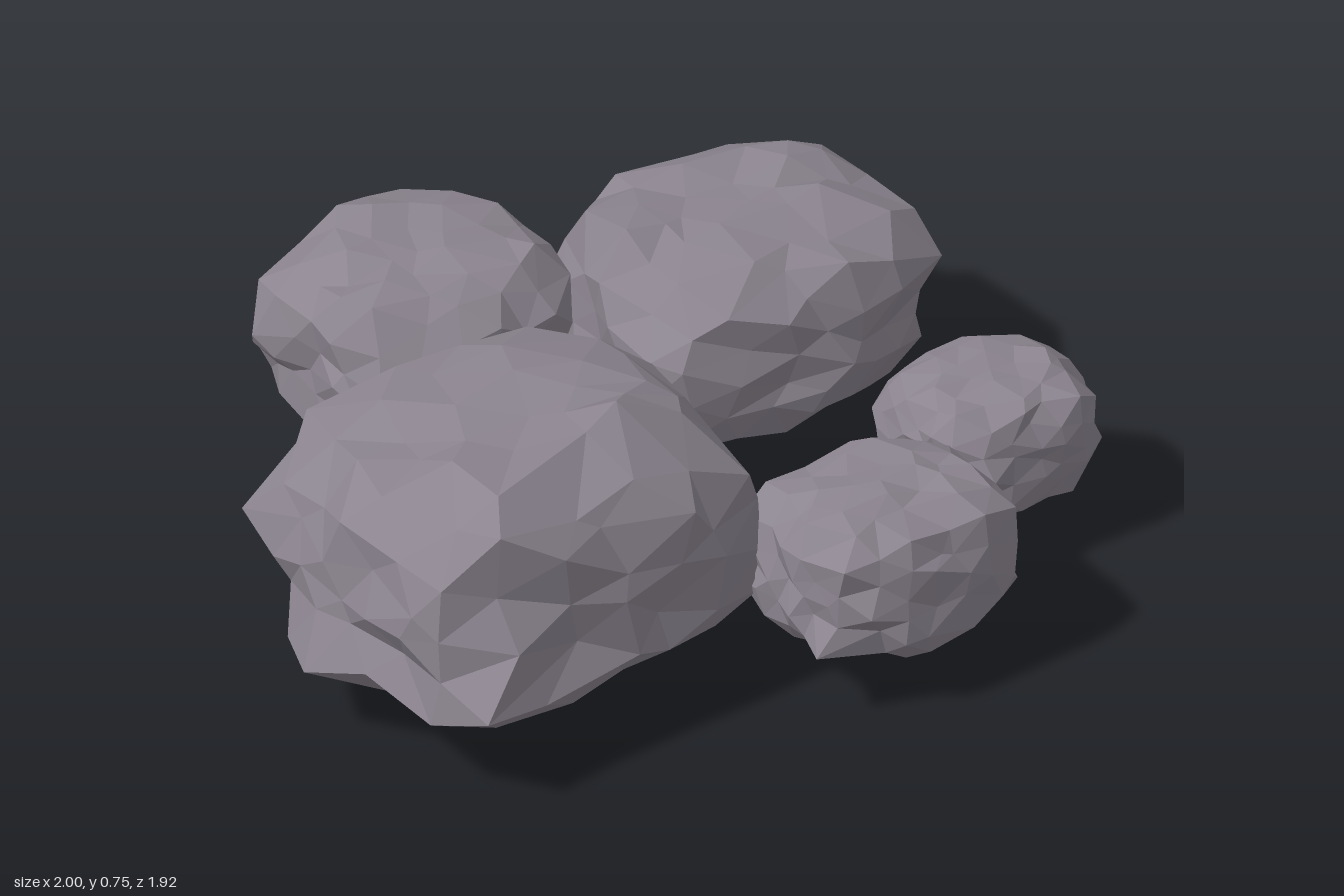
import * as THREE from 'three';
import { mergeVertices } from 'three/addons/utils/BufferGeometryUtils.js';

function seeded(seed) {
  let s = seed * 7919;
  return () => {
    s = (s * 16807) % 2147483647;
    return s / 2147483647;
  };
}

// A boxy boulder between two opposite limits, roughened, then drawn out to a few prominent corners
function rockGeometry(seed, min, max, corners) {
  const random = seeded(seed);
  const low = new THREE.Vector3(...min), high = new THREE.Vector3(...max);
  const centre = low.clone().add(high).multiplyScalar(0.5);
  const half = high.clone().sub(low).multiplyScalar(0.5);

  const sphere = new THREE.IcosahedronGeometry(1, 3);
  sphere.deleteAttribute('uv');
  sphere.deleteAttribute('normal');
  const geometry = mergeVertices(sphere, 1e-4);
  const pos = geometry.attributes.position;
  const points = [];

  // Sphere to rounded box, with uneven spacing and depth
  const power = 4.2;
  for (let i = 0; i < pos.count; i++) {
    const v = new THREE.Vector3().fromBufferAttribute(pos, i);
    v.add(new THREE.Vector3(random() - 0.5, random() - 0.5, random() - 0.5).multiplyScalar(0.16));
    const size = Math.abs(v.x) ** power + Math.abs(v.y) ** power + Math.abs(v.z) ** power;
    v.multiplyScalar((1.02 - 0.13 * random()) / size ** (1 / power));
    points.push(v.multiply(half).add(centre));
  }

  // Draw the nearest vertex to each corner, its neighbours following partway
  const spread = half.x * 0.5;
  for (const corner of corners) {
    const target = new THREE.Vector3(...corner);
    const nearest = points.reduce((a, b) => (b.distanceTo(target) < a.distanceTo(target) ? b : a)).clone();
    const pull = target.sub(nearest);
    for (const p of points) {
      const weight = Math.max(0, 1 - p.distanceTo(nearest) / spread) ** 1.5;
      p.addScaledVector(pull, weight);
    }
  }

  points.forEach((p, i) => pos.setXYZ(i, p.x, p.y, p.z));
  const faceted = geometry.toNonIndexed();
  faceted.computeVertexNormals();
  return faceted;
}

export function createModel() {
  const stone = new THREE.MeshStandardMaterial({ color: 0x8c8590 });
  stone.name = 'stone grey';
  stone.flatShading = true;
  const group = new THREE.Group();
  group.name = 'rockCluster';

  function addRock(name, ...shape) {
    const mesh = new THREE.Mesh(rockGeometry(...shape), stone);
    mesh.name = name;
    group.add(mesh);
  }

  // Largest boulder, left of the front
  addRock('largeRock', 11, [-0.94, 0.07, -0.17], [0.07, 0.69, 0.69], [
    [-1, 0.18, 0.22], [0.12, 0.42, 0.03], [-0.29, 0.75, 0.44], [-0.3, 0, 0.22],
    [-0.86, 0.25, 0.73], [-0.93, 0.42, -0.11], [-0.09, 0.42, -0.18], [-0.7, 0.71, 0.55],
  ]);

  // Boulder at the back
  addRock('backRock', 23, [-0.39, 0.08, -0.92], [0.25, 0.54, -0.32], [
    [-0.01, 0.33, -0.96], [-0.41, 0.33, -0.78], [0.24, 0.35, -0.9], [-0.35, 0.35, -0.37],
  ]);

  // Wide boulder behind the right side
  addRock('sideRock', 37, [0.18, 0.08, -0.62], [0.96, 0.58, 0.05], [
    [0.28, 0.6, -0.3], [0.97, 0.4, -0.04], [0.93, 0.4, -0.57], [0.64, 0.3, 0.08], [0.17, 0.3, -0.06],
  ]);

  // Smaller boulder at the front
  addRock('frontRock', 41, [-0.03, 0.1, 0.47], [0.52, 0.48, 0.95], [
    [0.39, 0.36, 0.41], [-0.04, 0.18, 0.86], [0.2, 0.2, 0.96],
  ]);

  // Smallest boulder
  addRock('smallRock', 59, [0.53, 0.12, 0.22], [0.99, 0.43, 0.63], [
    [1, 0.28, 0.43], [0.97, 0.3, 0.28], [0.62, 0.28, 0.64],
  ]);

  return group;
}
